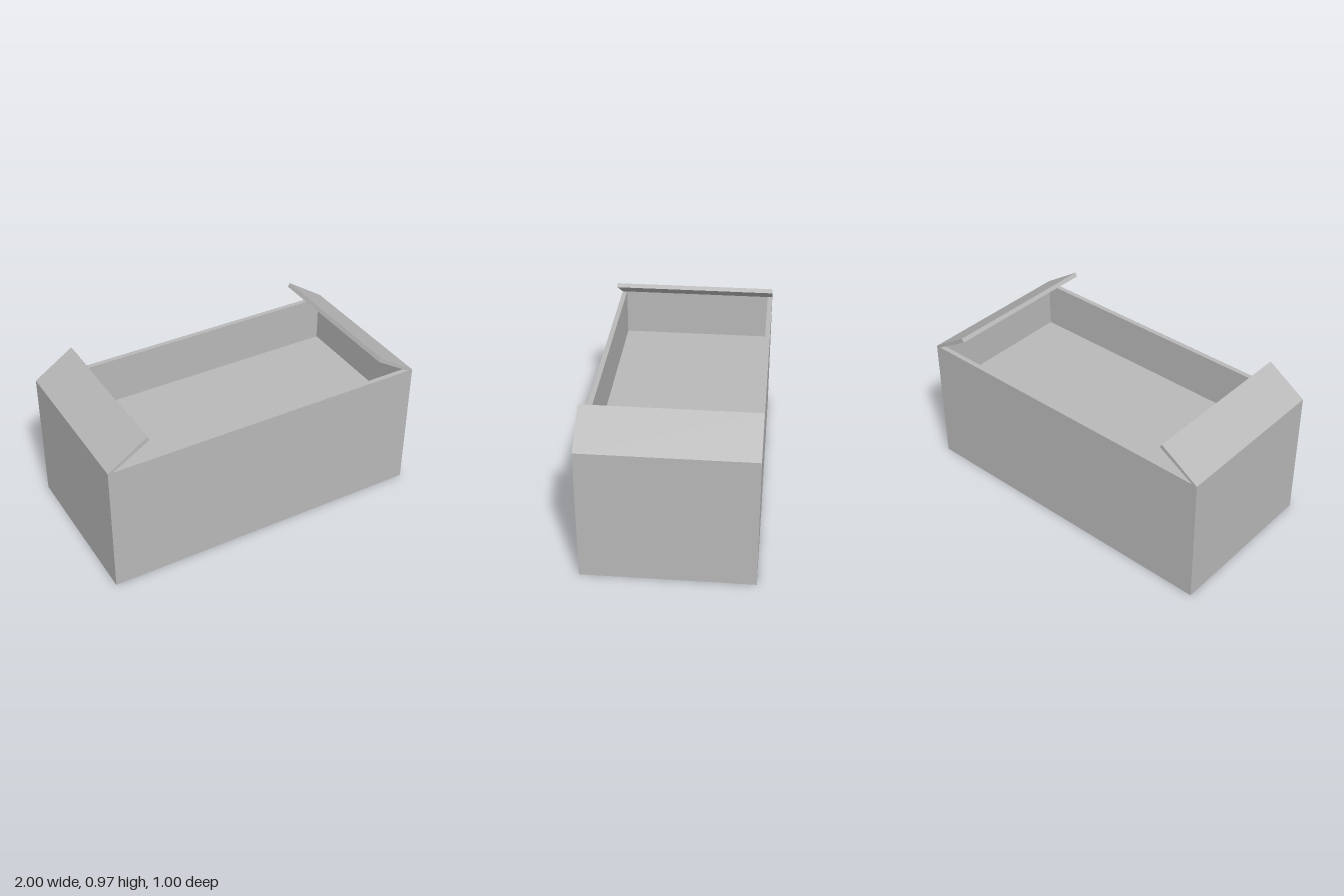
import * as THREE from 'three';

const H = 0.815, T = 0.03, FLOOR = 0.52;

export function createModel() {
  const group = new THREE.Group();
  group.name = 'openBox';
  const grey = new THREE.MeshStandardMaterial({ color: 0xb8b8b8 });
  grey.name = 'light grey';

  function add(name, geometry, x = 0, y = 0, z = 0) {
    const mesh = new THREE.Mesh(geometry, grey);
    mesh.name = name;
    mesh.position.set(x, y, z);
    group.add(mesh);
  }

  // Walls: one rectangular ring extruded upwards
  const ring = new THREE.Shape([[-1, -0.5], [1, -0.5], [1, 0.5], [-1, 0.5]]
    .map(p => new THREE.Vector2(...p)));
  const a = 1 - T, b = 0.5 - T;
  ring.holes.push(new THREE.Path([[-a, -b], [-a, b], [a, b], [a, -b]]
    .map(p => new THREE.Vector2(...p))));
  const walls = new THREE.ExtrudeGeometry(ring, { depth: H, bevelEnabled: false });
  walls.rotateX(-Math.PI / 2);
  add('walls', walls);

  // Raised floor inside the walls
  add('floor', new THREE.BoxGeometry(2 * a, FLOOR, 2 * b), 0, FLOOR / 2, 0);

  // End flaps, hinged on the outer top edges and leaning inwards
  for (const [name, s] of [['leftFlap', 1], ['rightFlap', -1]]) {
    const profile = new THREE.Shape([[1, H], [0.76, 0.973], [0.747, 0.95], [0.97, H]]
      .map(([x, y]) => new THREE.Vector2(s * x, y)));
    const flap = new THREE.ExtrudeGeometry(profile, { depth: 1, bevelEnabled: false });
    add(name, flap, 0, 0, -0.5);
  }
  return group;
}
